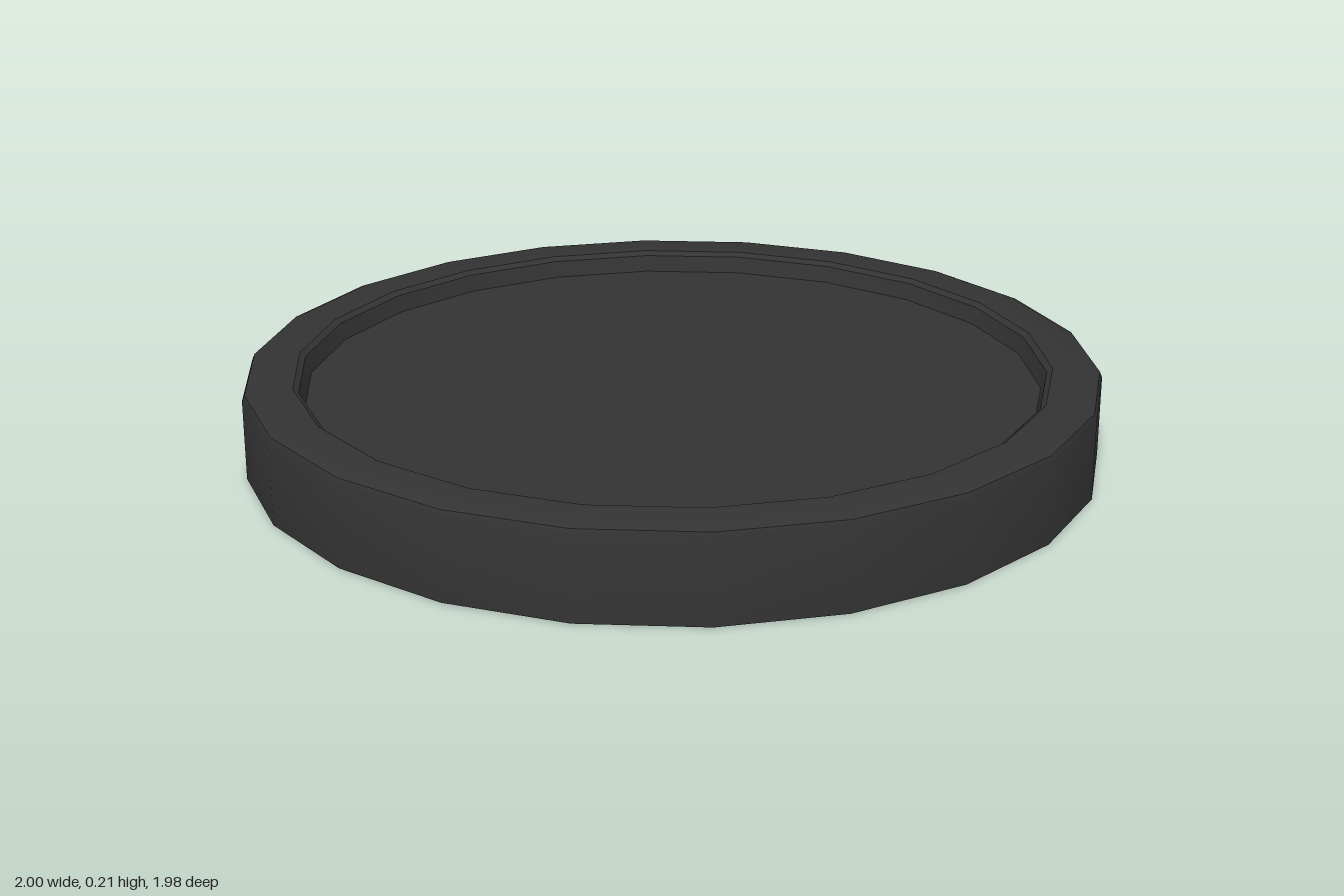
import * as THREE from 'three';
import { toCreasedNormals } from 'three/addons/utils/BufferGeometryUtils.js';

const SIDES = 22;
const FLOOR_RADIUS = 0.86;
const FLOOR_HEIGHT = 0.16;

export function createModel() {
  const group = new THREE.Group();
  group.name = 'roundLid';
  const material = new THREE.MeshStandardMaterial({ color: 0x333333, side: THREE.DoubleSide });

  // Thin shell: outer wall, rounded edge, flat rim, chamfer, inner wall; open below
  const profile = [
    [1, 0], [1, 0.19], [0.994, 0.204], [0.98, 0.21],
    [0.885, 0.21], [0.872, 0.2], [FLOOR_RADIUS, FLOOR_HEIGHT],
  ].map(([r, y]) => new THREE.Vector2(r, y));
  const rimGeometry = new THREE.LatheGeometry(profile, SIDES, Math.PI / 2);
  const rim = new THREE.Mesh(toCreasedNormals(rimGeometry, 0.6), material);
  rim.name = 'rim';

  // Recessed flat panel
  const panelGeometry = new THREE.CircleGeometry(FLOOR_RADIUS, SIDES);
  panelGeometry.rotateX(-Math.PI / 2);
  const panel = new THREE.Mesh(panelGeometry, material);
  panel.position.y = FLOOR_HEIGHT;
  panel.name = 'recessedPanel';

  group.add(rim, panel);
  return group;
}
